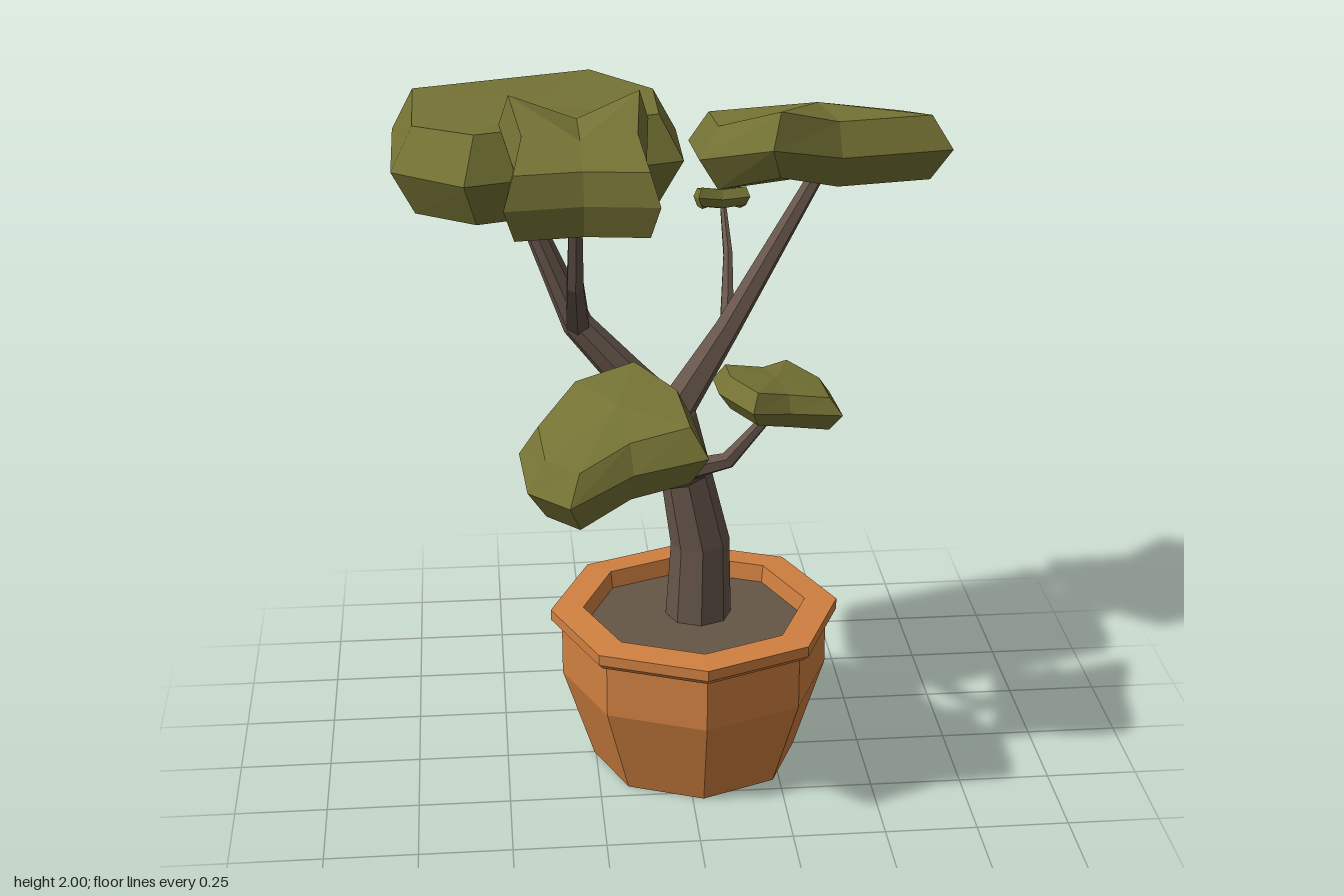
import * as THREE from 'three';

const mat = (name, color) => {
  const m = new THREE.MeshStandardMaterial({ color, flatShading: true });
  m.name = name;
  return m;
};

// Skin between rings of equal length, with optional end points closing it.
function skin(rings, startTip, endTip) {
  const n = rings[0].length;
  const pos = [], index = [];
  rings.flat().forEach((p) => pos.push(p.x, p.y, p.z));
  for (let r = 0; r < rings.length - 1; r++) {
    for (let i = 0; i < n; i++) {
      const j = (i + 1) % n;
      const a = r * n + i, b = r * n + j, c = b + n, d = a + n;
      index.push(a, b, c, a, c, d);
    }
  }
  const last = (rings.length - 1) * n;
  const close = (tip, base, flip) => {
    const t = pos.length / 3;
    pos.push(tip.x, tip.y, tip.z);
    for (let i = 0; i < n; i++) {
      const a = base + i, b = base + ((i + 1) % n);
      index.push(...(flip ? [b, a, t] : [a, b, t]));
    }
  };
  if (startTip) close(startTip, 0, true);
  if (endTip) close(endTip, last, false);
  const g = new THREE.BufferGeometry();
  g.setAttribute('position', new THREE.Float32BufferAttribute(pos, 3));
  g.setIndex(index);
  g.computeVertexNormals();
  return g;
}

// Tapered limb along a bent path; each point is [x, y, z, radius].
function limbGeometry(path, sides) {
  const pts = path.map(([x, y, z]) => new THREE.Vector3(x, y, z));
  const span = pts[pts.length - 1].clone().sub(pts[0]);
  const ref = Math.abs(span.z) > Math.abs(span.x)
    ? new THREE.Vector3(1, 0, 0) : new THREE.Vector3(0, 0, 1);
  const rings = pts.map((p, i) => {
    const t = new THREE.Vector3();
    if (i > 0) t.add(p.clone().sub(pts[i - 1]).normalize());
    if (i < pts.length - 1) t.add(pts[i + 1].clone().sub(p).normalize());
    t.normalize();
    const u = ref.clone().cross(t).normalize();
    const v = t.clone().cross(u);
    return Array.from({ length: sides }, (_, k) => {
      const a = (k / sides) * Math.PI * 2;
      return p.clone()
        .addScaledVector(u, Math.cos(a) * path[i][3])
        .addScaledVector(v, Math.sin(a) * path[i][3]);
    });
  });
  return skin(rings, pts[0], pts[pts.length - 1]);
}

// Faceted leaf pad: widest outline, with inset rings above and below it.
function padGeometry({ centre, half, inset, top, bottom, outline }) {
  const [cx, cz] = centre;
  const mid = outline.map(([x, y, z]) => new THREE.Vector3(x, y, z)).reverse();
  const ring = (dy) => mid.map((p) => new THREE.Vector3(
    cx + (p.x - cx) * inset, p.y + dy, cz + (p.z - cz) * inset));
  return skin([ring(-half), mid, ring(half)],
    new THREE.Vector3(cx, bottom, cz), new THREE.Vector3(cx, top, cz));
}

export function createModel() {
  const group = new THREE.Group();
  const clay = mat('terracotta', 0xd08040);
  const bark = mat('bark', 0x66554a);
  const earth = mat('soil', 0x665646);
  const leaf = mat('foliage', 0x747234);
  const add = (name, geometry, material) => {
    const m = new THREE.Mesh(geometry, material);
    m.name = name;
    group.add(m);
    return m;
  };

  // Octagonal pot with a flared rim
  const profile = [
    [0, 0], [0.285, 0], [0.37, 0.26], [0.37, 0.41], [0.385, 0.41],
    [0.4, 0.425], [0.4, 0.455], [0.31, 0.46], [0.3, 0.38],
  ].map(([x, y]) => new THREE.Vector2(x, y));
  add('pot', new THREE.LatheGeometry(profile, 8), clay).position.x = 0.03;

  const soil = add('soil', new THREE.CylinderGeometry(0.308, 0.3, 0.02, 8), earth);
  soil.position.set(0.03, 0.4, 0);

  // Trunk sweeping up to the largest pad
  add('trunk', limbGeometry([
    [0.045, 0.39, -0.045, 0.093], [0.05, 0.63, -0.045, 0.082],
    [-0.02, 0.99, -0.045, 0.064], [-0.15, 1.13, -0.045, 0.052],
    [-0.28, 1.28, -0.045, 0.042], [-0.38, 1.53, -0.045, 0.031],
    [-0.38, 1.7, -0.045, 0.024],
  ], 8), bark);

  // Branches
  const branches = {
    topFrontBranch: [[-0.28, 1.28, -0.045, 0.036], [-0.3, 1.51, 0.3, 0.024], [-0.3, 1.84, 0.44, 0.015]],
    backLeftBranch: [[-0.02, 1.02, -0.045, 0.052], [0.13, 1.22, -0.13, 0.036], [0.42, 1.62, -0.35, 0.021]],
    backTwig: [[0.13, 1.22, -0.13, 0.022], [0.15, 1.38, -0.3, 0.014], [0.155, 1.475, -0.49, 0.009]],
    lowFrontBranch: [[0.02, 0.86, -0.03, 0.055], [-0.05, 0.93, 0.17, 0.042], [-0.11, 1.05, 0.42, 0.026], [-0.19, 1.13, 0.51, 0.018]],
    lowLeftBranch: [[-0.05, 0.93, 0.17, 0.034], [0.1, 0.97, 0.19, 0.024], [0.24, 1.12, 0.17, 0.012]],
  };
  for (const [name, path] of Object.entries(branches)) add(name, limbGeometry(path, 6), bark);

  // Leaf pads
  const pads = {
    largePad: {
      centre: [-0.39, -0.07], half: 0.116, inset: 0.84, top: 1.875, bottom: 1.66,
      outline: [[-0.755, 1.772, -0.25], [-0.19, 1.772, -0.44], [-0.005, 1.772, -0.18],
        [-0.01, 1.772, 0.12], [-0.57, 1.772, 0.305], [-0.755, 1.74, 0.05]],
    },
    backLeftPad: {
      centre: [0.405, -0.39], half: 0.09, inset: 0.84, top: 1.78, bottom: 1.57,
      outline: [[0.065, 1.63, -0.57], [0.325, 1.64, -0.585], [0.515, 1.595, -0.725],
        [0.7, 1.64, -0.48], [0.75, 1.69, -0.2], [0.44, 1.69, -0.145],
        [0.24, 1.745, -0.04], [0.07, 1.65, -0.3]],
    },
    topFrontPad: {
      centre: [-0.29, 0.47], half: 0.08, inset: 0.87, top: 1.93, bottom: 1.8,
      outline: [[-0.48, 1.92, 0.27], [-0.29, 1.86, 0.28], [-0.11, 1.92, 0.245],
        [-0.13, 1.86, 0.45], [-0.11, 1.81, 0.635], [-0.29, 1.81, 0.61],
        [-0.48, 1.81, 0.635], [-0.45, 1.86, 0.45]],
    },
    lowFrontPad: {
      centre: [-0.21, 0.49], half: 0.075, inset: 0.8, top: 1.26, bottom: 1.09,
      outline: [[-0.455, 1.12, 0.45], [-0.33, 1.19, 0.3], [-0.14, 1.225, 0.255],
        [-0.02, 1.2, 0.43], [0.005, 1.165, 0.635], [-0.18, 1.13, 0.64],
        [-0.34, 1.08, 0.715], [-0.44, 1.085, 0.62]],
    },
    lowLeftPad: {
      centre: [0.23, 0.16], half: 0.045, inset: 0.8, top: 1.19, bottom: 1.1,
      outline: [[0.07, 1.16, 0.08], [0.2, 1.14, 0.05], [0.285, 1.14, -0.01],
        [0.38, 1.12, 0.1], [0.395, 1.11, 0.25], [0.255, 1.13, 0.275],
        [0.15, 1.155, 0.33], [0.075, 1.16, 0.19]],
    },
    tinyPad: {
      centre: [0.15, -0.5], half: 0.027, inset: 0.86, top: 1.505, bottom: 1.465,
      outline: [[0.08, 1.465, -0.57], [0.15, 1.46, -0.56], [0.225, 1.465, -0.575],
        [0.215, 1.475, -0.5], [0.225, 1.505, -0.42], [0.15, 1.495, -0.43],
        [0.08, 1.505, -0.42], [0.09, 1.475, -0.5]],
    },
  };
  for (const [name, pad] of Object.entries(pads)) add(name, padGeometry(pad), leaf);

  return group;
}
